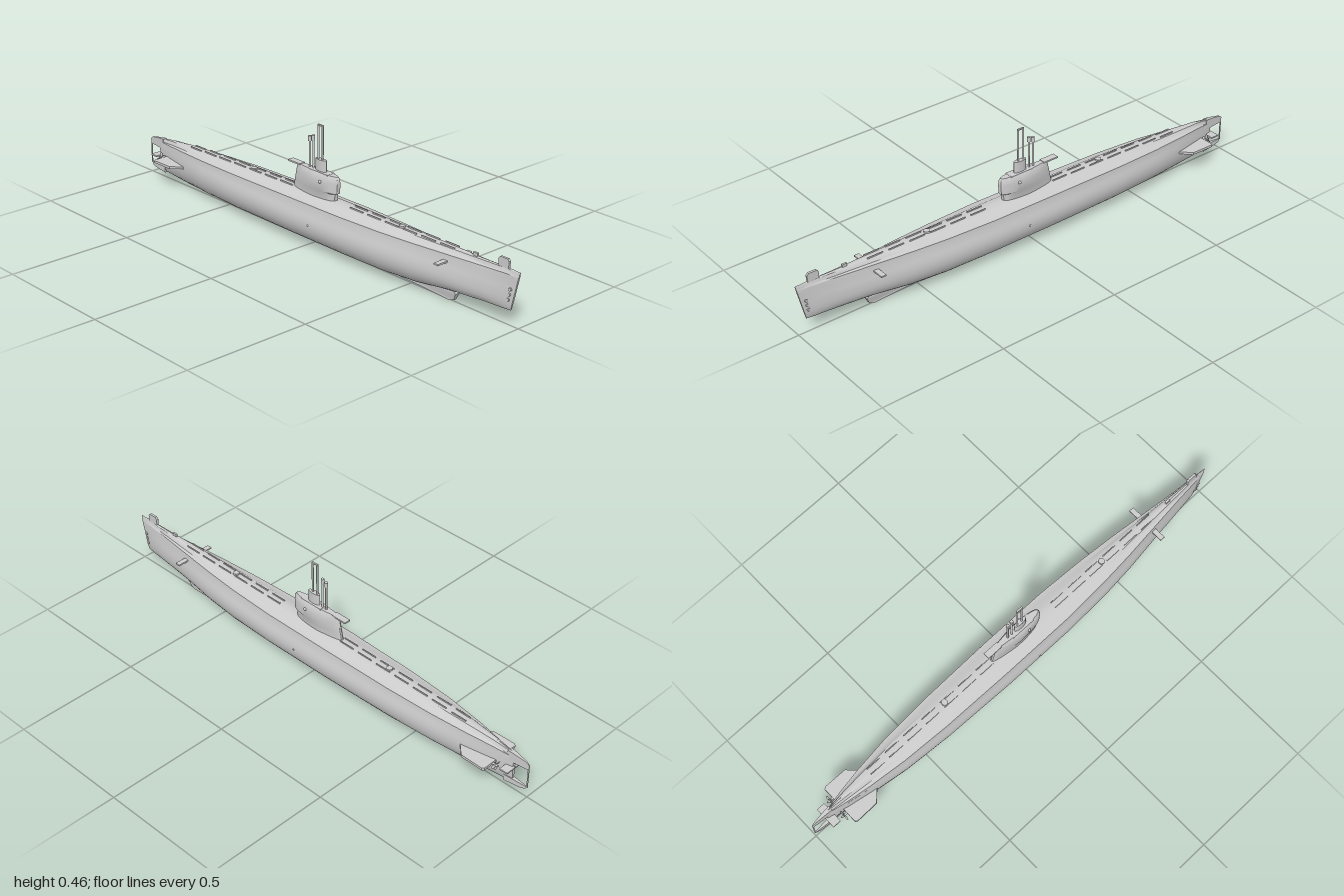
import * as THREE from 'three';
import { toCreasedNormals } from 'three/addons/utils/BufferGeometryUtils.js';

const material = new THREE.MeshStandardMaterial({ color: 0xcccccc });

// Skin a list of equal-length rings and close both ends
function loft(rings, crease = 0.5) {
  const n = rings[0].length, pos = [], idx = [];
  rings.forEach(r => r.forEach(p => pos.push(...p)));
  for (let i = 0; i < rings.length - 1; i++) {
    for (let j = 0; j < n; j++) {
      const k = (j + 1) % n, a = i * n, b = a + n;
      idx.push(a + j, a + k, b + k, a + j, b + k, b + j);
    }
  }
  [0, rings.length - 1].forEach(i => {
    const c = pos.length / 3;
    pos.push(...[0, 1, 2].map(d => rings[i].reduce((s, p) => s + p[d], 0) / n));
    for (let j = 0; j < n; j++) {
      const k = (j + 1) % n;
      if (i) idx.push(c, i * n + j, i * n + k);
      else idx.push(c, k, j);
    }
  });
  const g = new THREE.BufferGeometry();
  g.setAttribute('position', new THREE.Float32BufferAttribute(pos, 3));
  g.setIndex(idx);
  return toCreasedNormals(g, crease);
}

// Upright plate from a [z, y] outline; width(z, y) gives its thickness
function sidePlate(outline, width) {
  const shape = new THREE.Shape(outline.map(p => new THREE.Vector2(...p)));
  const g = new THREE.ExtrudeGeometry(shape, { depth: 1, bevelEnabled: false });
  g.rotateY(-Math.PI / 2).translate(0.5, 0, 0);
  const p = g.attributes.position;
  for (let i = 0; i < p.count; i++) p.setX(i, p.getX(i) * width(p.getZ(i), p.getY(i)));
  g.computeVertexNormals();
  return g;
}

// Hull stations: z, half width, keel y, deck y, shoulder half width, rake
const stations = [
  [-0.935, 0.006, 0.030, 0.163, 0.006, 0],
  [-0.85, 0.026, 0.024, 0.174, 0.022, 0],
  [-0.75, 0.044, 0.020, 0.180, 0.038, 0],
  [-0.6, 0.066, 0.017, 0.186, 0.055, 0],
  [-0.4, 0.080, 0.015, 0.191, 0.066, 0],
  [-0.1, 0.088, 0.015, 0.196, 0.071, 0],
  [0.2, 0.088, 0.015, 0.198, 0.071, 0],
  [0.4, 0.080, 0.016, 0.199, 0.062, 0],
  [0.55, 0.066, 0.024, 0.201, 0.050, 0],
  [0.7, 0.046, 0.043, 0.203, 0.034, 0],
  [0.85, 0.027, 0.052, 0.205, 0.018, 0],
  [0.95, 0.015, 0.055, 0.207, 0.010, 0.02],
  [1.0, 0.004, 0.057, 0.205, 0.004, 0.035],
];

function hullRing([z, w, b, t, s, rake]) {
  const cy = 0.103, half = [];
  for (let i = 0; i <= 10; i++) {
    const a = THREE.MathUtils.degToRad(-90 + i * 11.5);
    half.push([w * Math.cos(a), cy + (a < 0 ? cy - b : 0.088) * Math.sin(a)]);
  }
  half.push([s * 1.03, t - 0.035], [s, t - 0.019], [s * 0.68, t - 0.015], [s * 0.4, t - 0.003], [0, t]);
  const mirrored = half.slice(1, -1).reverse().map(([x, y]) => [-x, y]);
  return [...half, ...mirrored].map(([x, y]) => [x, y, z - rake * (t - y) / (t - b)]);
}

function deckY(z) {
  const i = Math.max(1, stations.findIndex(s => s[0] >= z));
  const [a, b] = [stations[i - 1], stations[i]];
  return THREE.MathUtils.mapLinear(z, a[0], b[0], a[3], b[3]);
}

export function createModel() {
  const model = new THREE.Group();
  const add = (name, geometry, x = 0, y = 0, z = 0, parent = model) => {
    const m = new THREE.Mesh(geometry, material);
    m.name = name;
    m.position.set(x, y, z);
    parent.add(m);
    return m;
  };
  const box = (w, h, d) => new THREE.BoxGeometry(w, h, d);
  const rod = (r, h, sides = 12) => new THREE.CylinderGeometry(r, r, h, sides);

  add('hull', loft(stations.map(hullRing)));

  // Keel blade under the forward hull
  add('forwardKeel', sidePlate(
    [[0.3, 0.03], [0.3, 0.015], [0.55, 0.009], [0.69, 0.002], [0.71, 0.009], [0.722, 0.035], [0.7, 0.06]],
    (z, y) => (z < 0.4 ? 0.012 : y < 0.012 ? 0.012 : 0.022)));

  // Open stern frame around the rudder space
  const taper = z => THREE.MathUtils.mapLinear(z, -1, -0.92, 0.003, 0.018);
  add('sternOverhang', sidePlate(
    [[-0.91, 0.122], [-0.998, 0.124], [-1, 0.145], [-0.985, 0.155], [-0.93, 0.164], [-0.91, 0.165]].reverse(), taper));
  add('sternSkeg', sidePlate(
    [[-0.9, 0.05], [-0.998, 0.047], [-0.99, 0.035], [-0.97, 0.029], [-0.9, 0.025]], taper));
  add('sternPost', box(0.003, 0.085, 0.005), 0, 0.086, -0.997);

  // Sail: y, front z, back z, half width
  const sailRings = [
    [0.18, 0.11, -0.122, 0.025], [0.222, 0.112, -0.113, 0.026], [0.226, 0.122, -0.112, 0.028],
    [0.262, 0.125, -0.104, 0.027], [0.282, 0.123, -0.1, 0.023], [0.29, 0.117, -0.098, 0.017],
  ].map(([y, f, b, w]) => Array.from({ length: 32 }, (_, i) => {
    const a = i / 32 * Math.PI * 2, c = Math.cos(a), s = Math.sin(a);
    const z = (f + b) / 2 - (f - b) / 2 * s;
    return [w * Math.sign(c) * Math.abs(c) ** 0.75 * (s > 0 ? 1 - 0.35 * s : 1), y, z];
  }));
  add('sail', loft(sailRings, 0.6));
  add('sailAftPlatform', box(0.026, 0.006, 0.065), 0, 0.289, -0.108);
  add('sailTopRim', box(0.036, 0.004, 0.1), 0, 0.289, 0.03);

  // Masts and periscopes
  add('mastFairing', loft([0.285, 0.335].map(y => Array.from({ length: 16 }, (_, i) => {
    const a = i / 16 * Math.PI * 2;
    return [0.01 * Math.cos(a), y, 0.028 - 0.028 * Math.sin(a)];
  })), 0.7));
  [0.036, 0.013].forEach(z => add('mainMastPost', rod(0.0038, 0.13), 0, 0.398, z));
  add('mainMastHead', box(0.007, 0.005, 0.028), 0, 0.464, 0.0245);
  [[-0.014, 0.412], [-0.033, 0.405]].forEach(([z, top]) => {
    add('periscope', rod(0.004, top - 0.28), 0, (top + 0.28) / 2, z);
    add('periscopeHead', rod(0.0065, 0.02), 0, top - 0.005, z);
  });

  // Bow dome and deck fittings
  add('bowSonar', sidePlate([[0.905, 0.2], [0.95, 0.2], [0.952, 0.23], [0.945, 0.238], [0.912, 0.238], [0.905, 0.23]], () => 0.009));
  add('deckHatch', rod(0.012, 0.008, 16), 0, deckY(0.45) + 0.002, 0.45);
  add('deckHatch', rod(0.012, 0.008, 16), 0, deckY(-0.35) + 0.002, -0.35);
  add('deckBollard', box(0.008, 0.012, 0.02), 0, deckY(0.8) + 0.004, 0.8);

  // Horizontal fin outline in [x, z]
  const finShape = new THREE.Shape([[0.02, 0.7], [0.05, 0.735], [0.086, 0.77], [0.088, 0.865], [0.082, 0.872], [0.02, 0.872]]
    .map(p => new THREE.Vector2(...p)));
  const finGeometry = new THREE.ExtrudeGeometry(finShape, { depth: 0.01, bevelEnabled: false });
  finGeometry.rotateX(-Math.PI / 2).translate(0, 0.095, 0);

  for (const side of [1, -1]) {
    // Deck rails in short lengths
    for (const [from, to] of [[0.2, 0.72], [-0.72, -0.18]]) {
      for (let z = from; z < to; z += 0.09) {
        add('deckRail', box(0.003, 0.005, 0.065), side * 0.012, deckY(z + 0.03) + 0.001, z + 0.03);
      }
    }
    add('bowPlane', box(0.06, 0.006, 0.02), side * 0.054, 0.16, 0.695);
    add('sailLamp', new THREE.SphereGeometry(0.006, 12, 8), side * 0.027, 0.26, 0.05);
    add('hullLamp', new THREE.SphereGeometry(0.004, 10, 6), side * 0.087, 0.105, 0.05);

    // Torpedo tube doors
    [0.137, 0.117, 0.097].forEach((y, i) => {
      const door = add('tubeDoor', rod(0.006, 0.005), side * (0.0105 - i * 0.0004), y, 0.966 - i * 0.004);
      door.rotation.z = Math.PI / 2;
    });

    // Stern fins, planes and propellers
    const fin = add('sternFin', finGeometry.clone());
    if (side < 0) fin.rotation.z = Math.PI, fin.position.y = 0.2;
    add('sternPlane', box(0.043, 0.006, 0.034), side * 0.0235, 0.1, -0.925);

    const propeller = new THREE.Group();
    propeller.name = 'propeller';
    propeller.position.set(side * 0.038, 0.1, -0.885);
    model.add(propeller);
    add('shaft', rod(0.004, 0.09), 0, 0, 0.035, propeller).rotation.x = Math.PI / 2;
    add('hub', new THREE.ConeGeometry(0.006, 0.022, 12), 0, 0, -0.006, propeller).rotation.x = -Math.PI / 2;
    for (let i = 0; i < 4; i++) {
      const blade = new THREE.SphereGeometry(1, 10, 8).scale(0.006, 0.01, 0.0015);
      blade.rotateY(side * 0.6).translate(0, 0.012, 0).rotateZ(i * Math.PI / 2);
      add('blade', blade, 0, 0, 0, propeller);
    }
  }
  return model;
}
